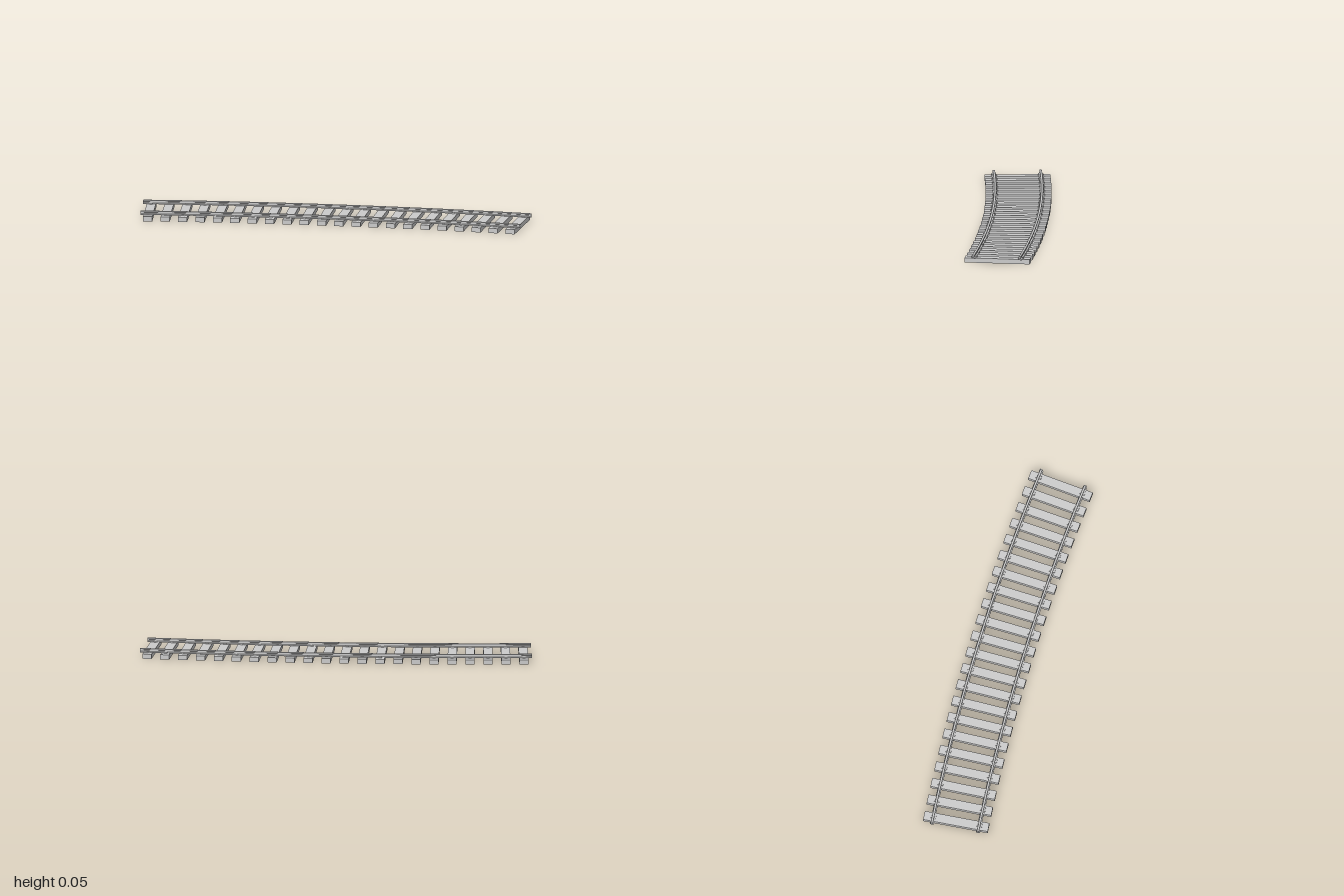
import * as THREE from 'three';

// The track follows a shallow arc about a distant centre
const R = 11.32, MID = THREE.MathUtils.degToRad(20.6), HALF = 0.09;
const GAUGE = 0.246, SLEEPERS = 22, SLEEPER_TOP = 0.025;
const CX = 0.003 - R * Math.sin(MID), CZ = -0.04 + R * Math.cos(MID);

const material = new THREE.MeshStandardMaterial({
  color: 0xcccccc, flatShading: true, side: THREE.DoubleSide,
});

// Half of the rail section, bottom to top: foot, web, head
const halfProfile = [
  [0.0105, 0.025], [0.0105, 0.0275], [0.003, 0.0305],
  [0.003, 0.0375], [0.0065, 0.0395], [0.0065, 0.0435], [0.005, 0.045],
];

// Rail of full section swept along the arc, closed at both ends
function makeRail(name, radius) {
  const rail = new THREE.Group();
  rail.name = name;
  const section = [
    ...halfProfile.map(([x, y]) => new THREE.Vector2(radius + x, y)),
    ...halfProfile.map(([x, y]) => new THREE.Vector2(radius - x, y)).reverse(),
  ];
  const start = Math.PI - MID - HALF;
  const body = new THREE.Mesh(
    new THREE.LatheGeometry([...section, section[0].clone()], 28, start, 2 * HALF), material);
  body.name = name + 'Body';
  rail.add(body);
  for (const theta of [start, start + 2 * HALF]) {
    const cap = new THREE.Mesh(new THREE.ShapeGeometry(new THREE.Shape(section)), material);
    cap.name = name + 'End';
    cap.rotation.y = theta - Math.PI / 2;
    rail.add(cap);
  }
  rail.position.set(CX, 0, CZ);
  return rail;
}

export function createModel() {
  const track = new THREE.Group();
  track.name = 'curvedTrack';
  track.add(makeRail('outerRail', R + GAUGE / 2), makeRail('innerRail', R - GAUGE / 2));

  const sleeperGeo = new THREE.BoxGeometry(0.048, SLEEPER_TOP, 0.345);
  const clipGeo = new THREE.BoxGeometry(0.016, 0.006, 0.007);
  const reach = HALF - 0.042 / R;

  // Sleepers lie across the arc, each with a clip on both sides of each rail
  for (let i = 0; i < SLEEPERS; i++) {
    const phi = MID + reach * (2 * i / (SLEEPERS - 1) - 1);
    const tie = new THREE.Group();
    tie.name = 'sleeper' + (i + 1);
    tie.position.set(CX + R * Math.sin(phi), 0, CZ - R * Math.cos(phi));
    tie.rotation.y = -phi;

    const beam = new THREE.Mesh(sleeperGeo, material);
    beam.name = 'sleeperBeam';
    beam.position.y = SLEEPER_TOP / 2;
    tie.add(beam);

    for (const railSide of [-1, 1]) {
      for (const clipSide of [-1, 1]) {
        const clip = new THREE.Mesh(clipGeo, material);
        clip.name = 'railClip';
        clip.position.set(0, SLEEPER_TOP + 0.003, railSide * GAUGE / 2 + clipSide * 0.011);
        tie.add(clip);
      }
    }
    track.add(tie);
  }
  return track;
}
